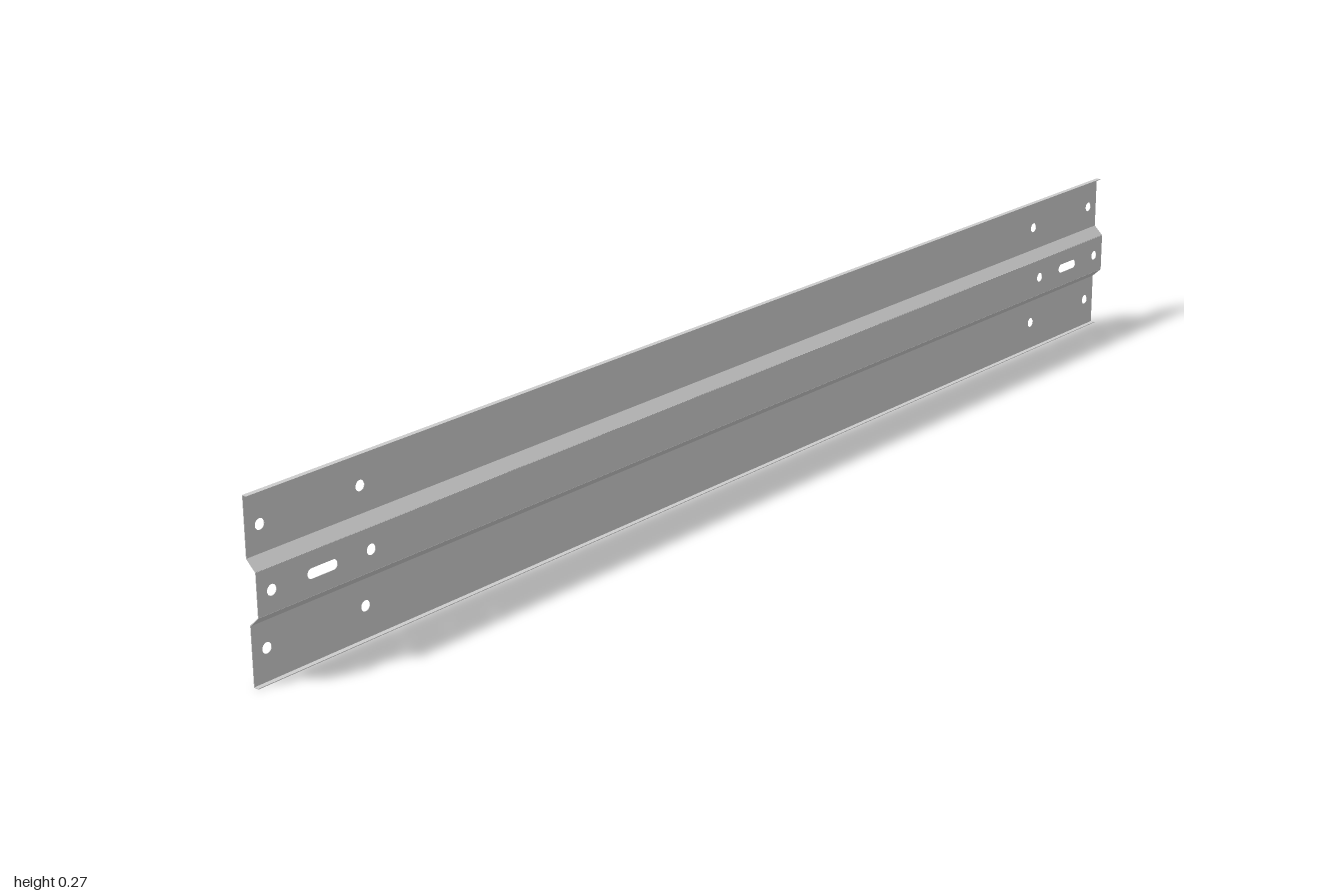
import * as THREE from 'three';

const LENGTH = 2;
const THICK = 0.001;
const HOLE_R = 0.008;

// Rounded slot outline; a zero-length slot is a round hole
function slotPath(x, y, length, r) {
  const h = length / 2;
  const path = new THREE.Path();
  path.absarc(x + h, y, r, -Math.PI / 2, Math.PI / 2, false);
  path.absarc(x - h, y, r, Math.PI / 2, Math.PI * 1.5, false);
  path.closePath();
  return path;
}

export function createModel() {
  const group = new THREE.Group();
  group.name = 'barrierRail';
  const material = new THREE.MeshStandardMaterial({ color: 0xcccccc, side: THREE.DoubleSide });

  // Folded sheet section (x, y) from the bottom lip to the top lip
  const section = [
    [0, 0.0005], [-0.008, 0.0005], [-0.008, 0.087], [0.008, 0.102],
    [0.008, 0.165], [-0.008, 0.18], [-0.008, 0.2665], [0, 0.2665],
  ].map(([x, y]) => new THREE.Vector2(x, y));

  // Bolt hole height within each drilled panel
  const panels = [
    { name: 'bottomLip' },
    { name: 'lowerPanel', holeY: 0.048 },
    { name: 'lowerSlope' },
    { name: 'middlePanel', holeY: 0.1335, slot: true },
    { name: 'upperSlope' },
    { name: 'upperPanel', holeY: 0.22 },
    { name: 'topLip' },
  ];

  panels.forEach(({ name, holeY, slot }, i) => {
    const a = section[i], b = section[i + 1];
    const width = a.distanceTo(b);
    const dir = b.clone().sub(a).normalize();

    // Flat strip running the full length
    const shape = new THREE.Shape();
    shape.moveTo(-LENGTH / 2, 0);
    shape.lineTo(LENGTH / 2, 0);
    shape.lineTo(LENGTH / 2, width);
    shape.lineTo(-LENGTH / 2, width);
    shape.closePath();

    // Bolt holes and long slots at both ends
    if (holeY) {
      for (const side of [-1, 1]) {
        for (const z of [0.975, 0.8]) {
          shape.holes.push(slotPath(side * z, holeY - a.y, 0, HOLE_R));
        }
        if (slot) shape.holes.push(slotPath(side * 0.887, holeY - a.y, 0.038, 0.0075));
      }
    }

    const geometry = new THREE.ExtrudeGeometry(shape, { depth: THICK, bevelEnabled: false, curveSegments: 10 });
    geometry.translate(0, 0, -THICK / 2);

    // Stand the strip along its segment of the section
    geometry.applyMatrix4(new THREE.Matrix4().makeBasis(
      new THREE.Vector3(0, 0, -1),
      new THREE.Vector3(dir.x, dir.y, 0),
      new THREE.Vector3(dir.y, -dir.x, 0),
    ).setPosition(a.x, a.y, 0));

    const mesh = new THREE.Mesh(geometry, material);
    mesh.name = name;
    group.add(mesh);
  });

  return group;
}
